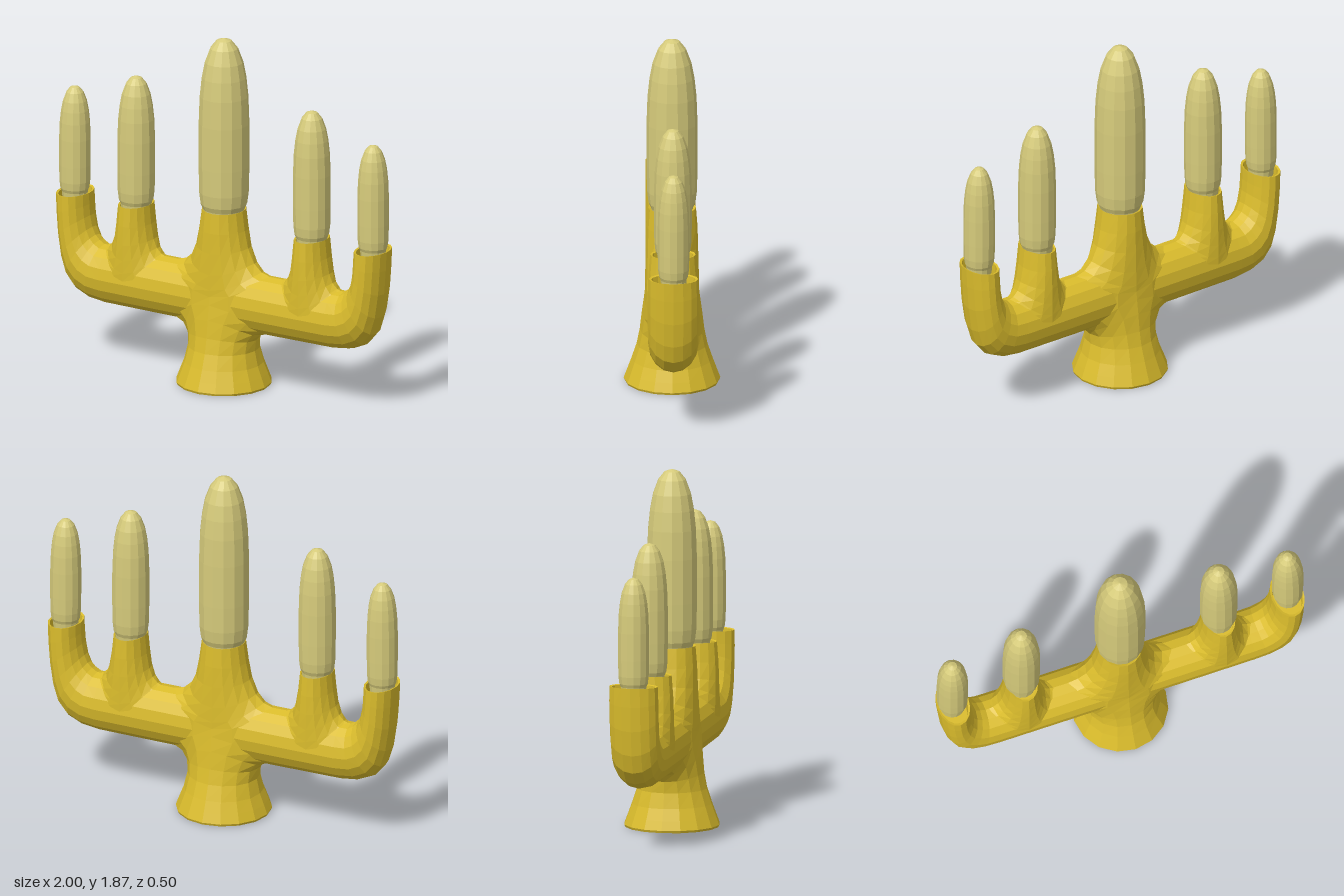
import * as THREE from 'three';

const SIDES = 16;

// Skin a list of closed rings (each SIDES points), closing both ends
function loft(rings) {
  const pos = [], idx = [];
  for (const ring of rings) for (const p of ring) pos.push(...p);
  for (let k = 0; k < rings.length - 1; k++) {
    for (let i = 0; i < SIDES; i++) {
      const j = (i + 1) % SIDES;
      const a = k * SIDES + i, b = k * SIDES + j;
      idx.push(a, a + SIDES, b, b, a + SIDES, b + SIDES);
    }
  }
  const cap = (k, flip) => {
    const c = [0, 1, 2].map(d => rings[k].reduce((s, p) => s + p[d], 0) / SIDES);
    const centre = pos.length / 3;
    pos.push(...c);
    for (let i = 0; i < SIDES; i++) {
      const a = k * SIDES + i, b = k * SIDES + (i + 1) % SIDES;
      if (flip) idx.push(centre, b, a); else idx.push(centre, a, b);
    }
  };
  cap(0, false);
  cap(rings.length - 1, true);
  const g = new THREE.BufferGeometry();
  g.setAttribute('position', new THREE.Float32BufferAttribute(pos, 3));
  g.setIndex(idx);
  const flat = g.toNonIndexed();
  flat.computeVertexNormals();
  return flat;
}

const angles = Array.from({ length: SIDES }, (_, i) => (i / SIDES) * Math.PI * 2);

// Horizontal ring; sag bends its front and back down to straddle the bar
const collarRing = ([y, hx, hz, sag = 0]) => angles.map(a =>
  [hx * Math.cos(a), y - sag * Math.sin(a) ** 2, hz * Math.sin(a)]);

// Ring spanning an outer and an inner outline point, with a half depth in z
const armRing = ([ox, oy, ix, iy, hz]) => angles.map(a => {
  const c = Math.cos(a), s = Math.sin(a);
  return [(ox + ix) / 2 + c * (ox - ix) / 2, (oy + iy) / 2 + c * (oy - iy) / 2, hz * s];
});

// Candle outline: radius fraction, height fraction
const CANDLE = [[0, -0.07], [0.78, -0.07], [0.83, 0], [0.92, 0.03], [0.98, 0.1], [1, 0.25], [1, 0.5],
  [0.96, 0.66], [0.88, 0.77], [0.76, 0.86], [0.55, 0.94], [0.3, 0.985], [0, 1]];

export function createModel() {
  const root = new THREE.Group();
  root.name = 'candelabra';

  const gold = new THREE.MeshStandardMaterial({ color: 0xdabc2c });
  gold.name = 'gold';
  const wax = new THREE.MeshStandardMaterial({ color: 0xd6cb7b });
  wax.name = 'wax';
  gold.flatShading = wax.flatShading = true;

  const add = (parent, name, geometry, material, x = 0) => {
    const mesh = new THREE.Mesh(geometry, material);
    mesh.name = name;
    mesh.position.x = x;
    parent.add(mesh);
  };
  const candle = (parent, name, x, y, top, r) => add(parent, name, new THREE.LatheGeometry(
    CANDLE.map(([a, b]) => new THREE.Vector2(a * r, y + b * (top - y))), 14), wax, x);

  // Central stem: flared foot, fillets into the bar, tapering cup with a recess
  add(root, 'stem', loft([
    [0, 0.245, 0.245], [0.012, 0.25, 0.25], [0.06, 0.232, 0.232], [0.12, 0.208, 0.21],
    [0.2, 0.19, 0.183], [0.26, 0.197, 0.167, -0.02], [0.295, 0.23, 0.156, -0.08],
    [0.315, 0.3, 0.145, -0.14], [0.618, 0.29, 0.14, 0.12], [0.635, 0.23, 0.14, 0.1],
    [0.675, 0.185, 0.138, 0.06], [0.75, 0.148, 0.135, 0.02], [0.84, 0.128, 0.132],
    [0.945, 0.113, 0.124], [0.94, 0.1, 0.11], [0.86, 0.095, 0.105],
  ].map(collarRing)), gold);
  candle(root, 'centreCandle', 0, 0.945, 1.87, 0.132);

  // Each side: the right one is the left one turned half round
  for (const side of ['left', 'right']) {
    const half = new THREE.Group();
    half.name = side + 'Branch';
    if (side === 'right') half.rotation.y = Math.PI;
    root.add(half);

    // Bar that bends up into the outer cup
    add(half, 'arm', loft([
      [0, 0.31, 0, 0.62, 0.13], [0.35, 0.31, 0.35, 0.62, 0.13], [0.7, 0.312, 0.69, 0.62, 0.13],
      [0.8, 0.325, 0.735, 0.62, 0.13], [0.88, 0.36, 0.765, 0.637, 0.13],
      [0.935, 0.425, 0.79, 0.66, 0.13], [0.965, 0.52, 0.81, 0.7, 0.13],
      [0.985, 0.65, 0.823, 0.76, 0.13], [0.995, 0.78, 0.828, 0.82, 0.13],
      [1, 0.88, 0.83, 0.88, 0.128], [0.99, 0.877, 0.84, 0.877, 0.115],
      [0.985, 0.79, 0.845, 0.79, 0.105],
    ].map(armRing)), gold);

    // Inner cup rising from the bar
    add(half, 'innerCup', loft([
      [0.615, 0.19, 0.132, 0.13], [0.628, 0.155, 0.132, 0.1], [0.655, 0.127, 0.131, 0.06],
      [0.7, 0.107, 0.13, 0.02], [0.78, 0.092, 0.126], [0.88, 0.082, 0.118],
      [0.877, 0.074, 0.107], [0.8, 0.07, 0.1],
    ].map(collarRing)), gold, 0.54);

    candle(half, 'innerCandle', 0.54, 0.88, 1.57, 0.098);
    candle(half, 'outerCandle', 0.917, 0.88, 1.45, 0.082);
  }
  return root;
}
